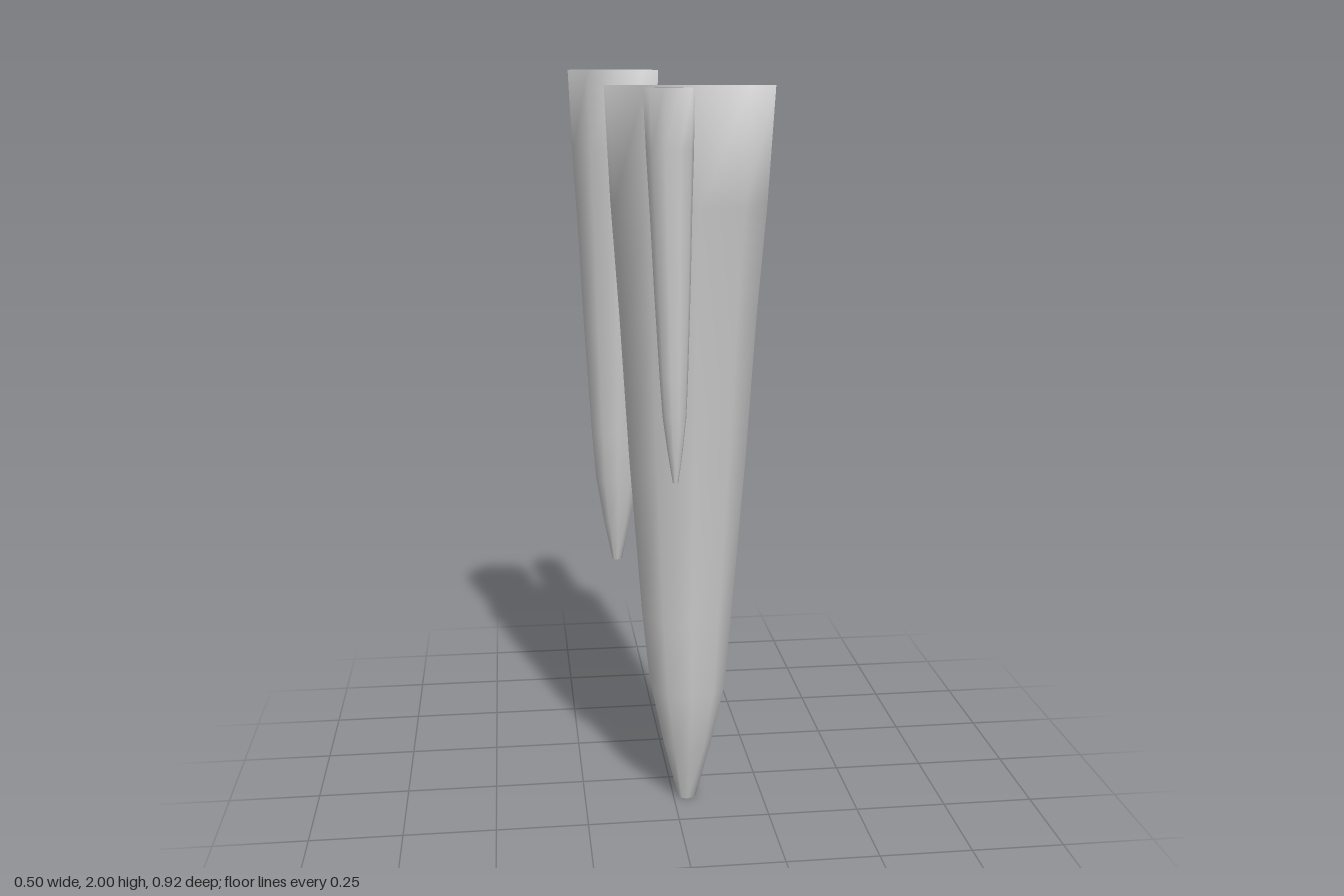
import * as THREE from 'three';

const SIDES = 10;

// Shared taper: [height fraction from the tip, radius fraction]
const TAPER = [
  [0, 0.115], [0.085, 0.31], [0.175, 0.48], [0.28, 0.57],
  [0.5, 0.72], [0.7, 0.83], [0.85, 0.93], [1, 1],
];

// Sideways drift of each ring of the main spike, [x, z]
const MAIN_DRIFT = [
  [0, 0], [0, 0], [0, 0], [0, -0.02], [0, -0.02], [0, -0.02], [0, -0.01], [0, 0],
];

// Closed tapering spike with smooth normals, shared by the side and both caps
function makeSpike({ name, x, z, radius, top, tip, lean = [0, 0], turn = 0, drift }) {
  const positions = [];
  const index = [];

  // Rings from tip to top
  TAPER.forEach(([t, r], k) => {
    const dx = lean[0] * (1 - t) + (drift ? drift[k][0] : 0);
    const dz = lean[1] * (1 - t) + (drift ? drift[k][1] : 0);
    for (let i = 0; i < SIDES; i++) {
      const a = (i / SIDES) * Math.PI * 2 + turn;
      positions.push(
        x + dx + Math.sin(a) * radius * r,
        tip + (top - tip) * t,
        z + dz + Math.cos(a) * radius * r,
      );
    }
  });

  // Side walls
  for (let k = 0; k < TAPER.length - 1; k++) {
    for (let i = 0; i < SIDES; i++) {
      const a = k * SIDES + i;
      const b = k * SIDES + ((i + 1) % SIDES);
      index.push(a, b, b + SIDES, a, b + SIDES, a + SIDES);
    }
  }

  // Flat caps, filled in strips across the ring
  const last = (TAPER.length - 1) * SIDES;
  for (let i = 0; i < SIDES / 2 - 1; i++) {
    const a = i, b = i + 1, c = SIDES - 2 - i, d = SIDES - 1 - i;
    index.push(last + a, last + b, last + c, last + a, last + c, last + d);
    index.push(a, c, b, a, d, c);
  }

  const geometry = new THREE.BufferGeometry();
  geometry.setAttribute('position', new THREE.Float32BufferAttribute(positions, 3));
  geometry.setIndex(index);
  geometry.computeVertexNormals();

  const mesh = new THREE.Mesh(geometry, new THREE.MeshStandardMaterial({ color: 0xcccccc }));
  mesh.name = name;
  return mesh;
}

export function createModel() {
  const group = new THREE.Group();
  group.name = 'stalactites';
  const half = Math.PI / SIDES;

  const spikes = [
    { name: 'mainSpike', x: 0.038, z: 0.11, radius: 0.221, top: 1.96, tip: 0, drift: MAIN_DRIFT },
    { name: 'rearLargeSpike', x: -0.13, z: -0.2, radius: 0.126, top: 2, tip: 0.61, lean: [0, -0.005] },
    { name: 'frontSmallSpike', x: -0.046, z: 0.4, radius: 0.061, top: 1.955, tip: 1.01, lean: [0.015, 0.015], turn: half },
    { name: 'rearSmallSpike', x: 0.056, z: -0.4, radius: 0.061, top: 1.91, tip: 0.97, lean: [0, 0.025] },
    { name: 'rearTinySpike', x: 0.031, z: -0.3, radius: 0.031, top: 1.9, tip: 1.42, lean: [0, 0.012], turn: half },
  ];
  for (const spike of spikes) group.add(makeSpike(spike));

  return group;
}
